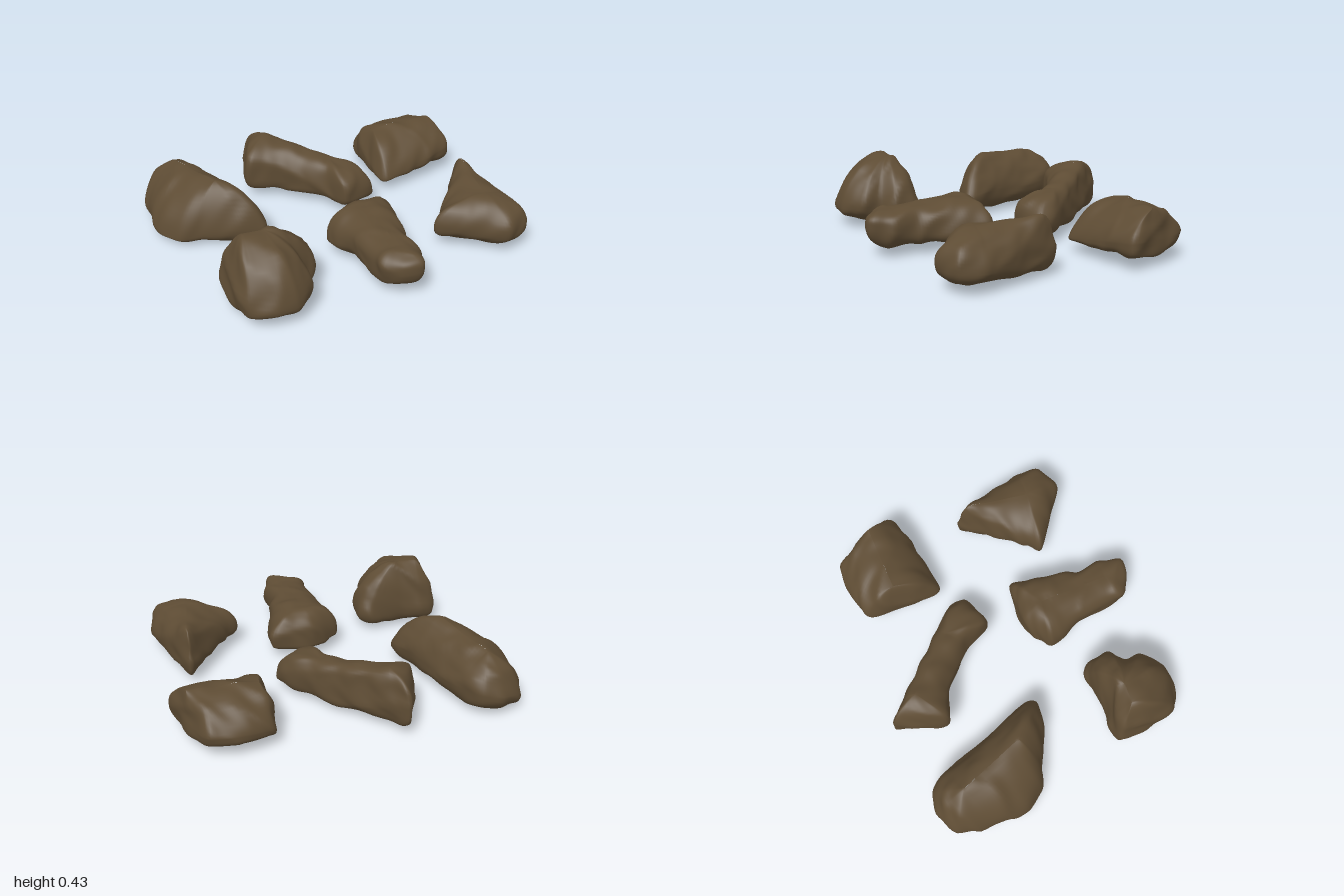
import * as THREE from 'three';
import { mergeVertices } from 'three/addons/utils/BufferGeometryUtils.js';

const AROUND = 112, LEVELS = 30;

// Chipped, lumpy relief
function relief({ x, y, z }, seed) {
  const a = Math.sin(9 * x + 6 * y - 4 * z + seed * 2.1);
  const b = Math.sin(-6 * x + 14 * y + 11 * z + seed * 3.7 + a);
  const c = Math.sin(23 * x - 14 * y + 19 * z + seed * 1.3 + 1.5 * b);
  const d = Math.sin(-37 * x + 31 * y + 28 * z + seed + c);
  return 0.005 * (1 - 2 * Math.abs(b)) + 0.004 * a * c + 0.0025 * d;
}

// plan: alternating x, z of the outline, clockwise from above
// ridge: both ends of the crest, x, y, z each; base: height of the underside
// rim: height of the widest line at the centre, then its slopes along x and z
// topPower, basePower: 0.5 boxy, 1 round, 2 straight slopes
function rockGeometry(seed, { plan, ridge, base, rim, topPower, basePower }) {
  const corners = [];
  for (let i = 0; i < plan.length; i += 2) corners.push(new THREE.Vector3(plan[i], 0, plan[i + 1]));
  const outline = new THREE.CatmullRomCurve3(corners, true, 'catmullrom', 0.3).getSpacedPoints(AROUND).slice(0, AROUND);
  const centre = new THREE.Box3().setFromPoints(outline).getCenter(new THREE.Vector3());
  for (const p of outline) {
    p.y = rim[0] + rim[1] * (p.x - centre.x) + rim[2] * (p.z - centre.z) + 0.012 * Math.sin(9 * p.z + 7 * p.x + seed);
  }
  const crest = new THREE.Line3(new THREE.Vector3().fromArray(ridge), new THREE.Vector3().fromArray(ridge, 3));

  // Rings from the keel, out to the rim, up to the crest
  const positions = [], index = [], near = new THREE.Vector3();
  for (let i = 0; i <= LEVELS; i++) {
    const angle = (i / LEVELS - 0.5) * Math.PI;
    const upper = angle > 0;
    const power = upper ? topPower : basePower;
    const out = Math.max(0, Math.cos(angle)) ** power;
    const rise = Math.abs(Math.sin(angle)) ** power;
    for (let j = 0; j < AROUND; j++) {
      const p = outline[j];
      crest.closestPointToPoint(p, true, near);
      positions.push(
        THREE.MathUtils.lerp(near.x, p.x, out),
        THREE.MathUtils.lerp(p.y, upper ? near.y : base, rise),
        THREE.MathUtils.lerp(near.z, p.z, out));
      if (i < LEVELS) {
        const a = i * AROUND + j, c = i * AROUND + (j + 1) % AROUND;
        index.push(a, a + AROUND, c + AROUND, a, c + AROUND, c);
      }
    }
  }
  const rings = new THREE.BufferGeometry();
  rings.setAttribute('position', new THREE.Float32BufferAttribute(positions, 3));
  rings.setIndex(index);
  const geometry = mergeVertices(rings, 1e-3);
  geometry.computeVertexNormals();

  // Push the surface in and out along its normals
  const pos = geometry.attributes.position, nor = geometry.attributes.normal;
  const p = new THREE.Vector3(), n = new THREE.Vector3();
  for (let i = 0; i < pos.count; i++) {
    p.fromBufferAttribute(pos, i);
    n.fromBufferAttribute(nor, i);
    p.addScaledVector(n, relief(p, seed));
    pos.setXYZ(i, p.x, Math.max(0, p.y), p.z);
  }
  geometry.computeVertexNormals();
  return geometry;
}

export function createModel() {
  const group = new THREE.Group();
  group.name = 'rocks';
  const stone = new THREE.MeshStandardMaterial({ color: 0x5e4c34 });
  stone.name = 'brown stone';

  function addRock(name, shape) {
    const mesh = new THREE.Mesh(rockGeometry(group.children.length + 1, shape), stone);
    mesh.name = name;
    group.add(mesh);
  }

  // Back row
  addRock('backRightRock', {
    plan: [-.91, -.82, -.77, -.87, -.65, -.84, -.58, -.74, -.5, -.35, -.44, -.1, -.47, -.03, -.62, -.07, -.82, -.2, -.93, -.26, -1, -.39, -.97, -.65],
    ridge: [-.75, .34, -.68, -.66, .375, -.28], base: .01, rim: [.11, .16, -.06], topPower: 1.25, basePower: .8,
  });
  addRock('backMiddleRock', {
    plan: [-.2, -.85, -.12, -.77, .12, -.47, .31, -.2, .31, -.09, .1, -.05, .04, -.22, -.16, -.46, -.33, -.54, -.32, -.62],
    ridge: [-.14, .365, -.66, .13, .29, -.32], base: .04, rim: [.14, -.05, -.03], topPower: .85, basePower: .7,
  });
  addRock('backLeftRock', {
    plan: [.48, -.19, .48, -.52, .53, -.66, .68, -.7, .89, -.66, .98, -.38, .98, -.23],
    ridge: [.54, .32, -.46, .94, .335, -.42], base: .06, rim: [.13, .1, -.03], topPower: 1.25, basePower: .6,
  });

  // Front row
  addRock('frontRightRock', {
    plan: [-.91, .28, -.81, .26, -.68, .29, -.47, .3, -.41, .36, -.41, .48, -.51, .55, -.53, .65, -.66, .74, -.78, .73, -.91, .65, -.93, .54],
    ridge: [-.8, .43, .38, -.69, .43, .4], base: .02, rim: [.13, .06, .08], topPower: 1.15, basePower: .75,
  });
  addRock('frontMiddleRock', {
    plan: [-.19, .21, -.01, .13, .12, .15, .25, .19, .2, .4, .12, .58, .11, .74, .04, .86, -.08, .83, -.16, .73, -.16, .45, -.2, .28],
    ridge: [.02, .3, .27, -.02, .27, .7], base: .05, rim: [.15, 0, .14], topPower: .8, basePower: .75,
  });
  addRock('frontLeftRock', {
    plan: [.77, .11, .8, .15, .86, .38, .9, .6, .86, .75, .7, .79, .56, .66, .38, .49, .45, .43, .65, .24],
    ridge: [.77, .345, .2, .68, .31, .55], base: .03, rim: [.14, .04, 0], topPower: 1, basePower: .75,
  });
  return group;
}
